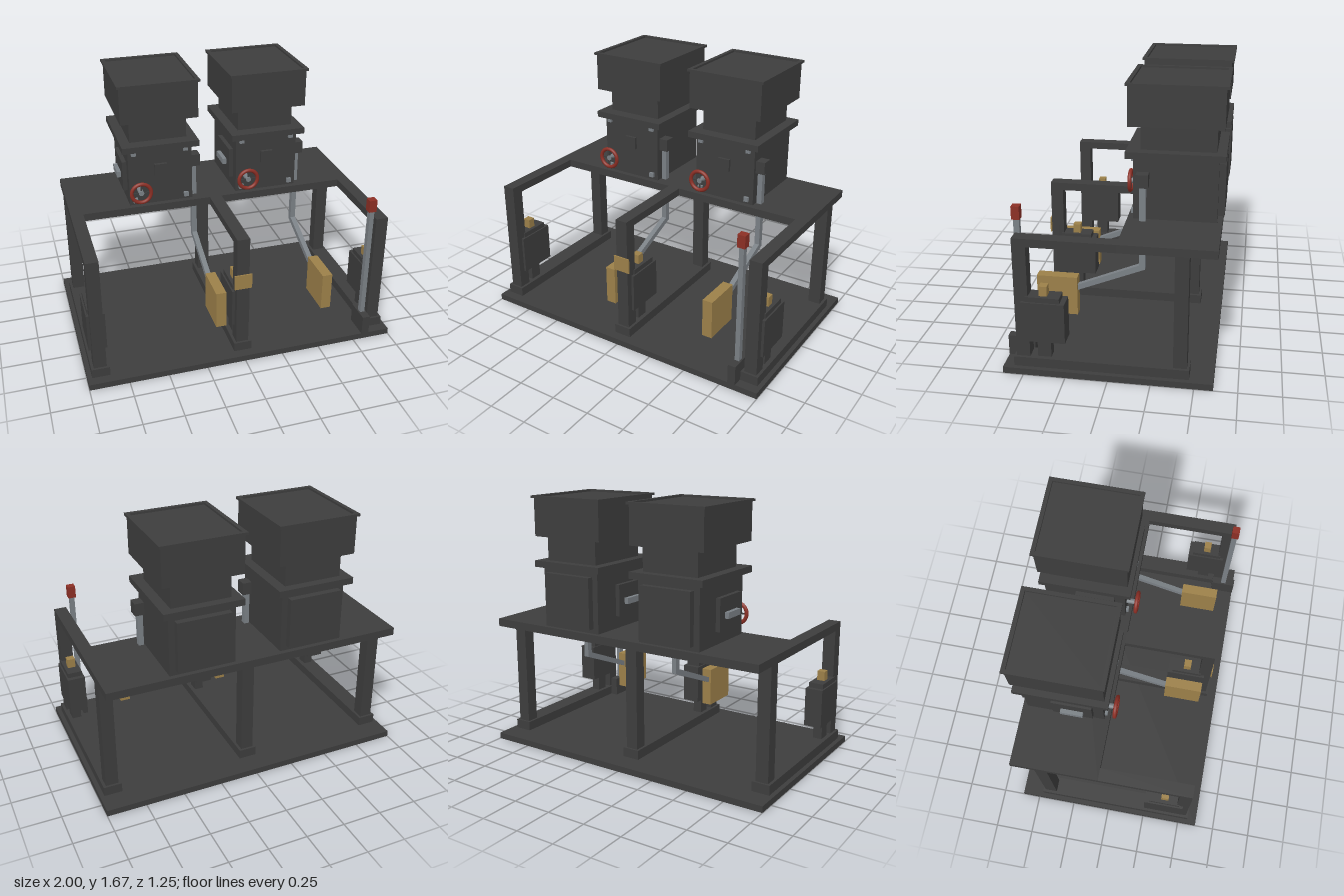
import * as THREE from 'three';

const mat = (name, color) => {
  const m = new THREE.MeshStandardMaterial({ color });
  m.name = name;
  return m;
};

export function createModel() {
  const iron = mat('dark iron', 0x3d3d3d);
  const steel = mat('grey steel', 0x7a8085);
  const red = mat('red paint', 0x8c2f25);
  const brass = mat('brass', 0x9c8049);

  const model = new THREE.Group();
  model.name = 'twinHopperMachine';

  const add = (parent, name, geometry, material, x = 0, y = 0, z = 0) => {
    const mesh = new THREE.Mesh(geometry, material);
    mesh.name = name;
    mesh.position.set(x, y, z);
    parent.add(mesh);
    return mesh;
  };
  // Box given by its limits on each axis
  const box = (parent, name, material, [x0, x1], [y0, y1], [z0, z1]) =>
    add(parent, name, new THREE.BoxGeometry(x1 - x0, y1 - y0, z1 - z0), material,
      (x0 + x1) / 2, (y0 + y1) / 2, (z0 + z1) / 2);
  // Square frame of four bars
  const frame = (parent, name, material, [x0, x1], y, [z0, z1], w) => {
    for (const x of [x0, x1 - w]) box(parent, name, material, [x, x + w], y, [z0, z1]);
    for (const z of [z0, z1 - w]) box(parent, name, material, [x0 + w, x1 - w], y, [z, z + w]);
  };

  // Base plate, ribbed underneath
  const base = new THREE.Group();
  base.name = 'base';
  model.add(base);
  box(base, 'basePlate', iron, [-1, 1], [0.02, 0.04], [-0.61, 0.622]);
  frame(base, 'baseRim', iron, [-1, 1], [0, 0.02], [-0.61, 0.622], 0.025);
  for (const x of [-0.33, 0.33]) box(base, 'crossRib', iron, [x - 0.012, x + 0.012], [0, 0.02], [-0.585, 0.597]);
  for (const [a, b] of [[-0.975, -0.342], [-0.318, 0.318], [0.342, 0.975]])
    box(base, 'longRib', iron, [a, b], [0, 0.02], [-0.006, 0.018]);

  // Table top
  box(model, 'tableTop', iron, [-0.955, 0.955], [0.8, 0.85], [-0.61, -0.05]);

  // Three side frames, each with a switch box behind the front post
  for (const x of [-0.915, 0, 0.915]) {
    const side = new THREE.Group();
    side.name = 'sideFrame';
    side.position.x = x;
    model.add(side);
    box(side, 'floorRail', iron, [-0.057, 0.057], [0.04, 0.1], [-0.47, 0.56]);
    box(side, 'frontPost', iron, [-0.04, 0.04], [0.1, 0.8], [0.465, 0.545]);
    box(side, 'backPost', iron, [-0.04, 0.04], [0.1, 0.8], [-0.455, -0.375]);
    box(side, 'topArm', iron, [-0.04, 0.04], [0.8, 0.85], [-0.05, 0.545]);
    box(side, 'boxStand', iron, [-0.03, 0.03], [0.1, 0.215], [0.34, 0.42]);
    box(side, 'switchBox', iron, [-0.057, 0.057], [0.21, 0.46], [0.25, 0.505]);
    box(side, 'boxLid', iron, [-0.047, 0.047], [0.46, 0.492], [0.28, 0.48]);
    box(side, 'boxButton', brass, [-0.025, 0.025], [0.492, 0.553], [0.355, 0.403]);
  }
  box(model, 'namePlate', brass, [-0.056, 0.056], [0.503, 0.602], [0.545, 0.553]);

  // Two hopper machines
  for (const cx of [-0.358, 0.358]) {
    const m = new THREE.Group();
    m.name = 'machine';
    m.position.x = cx;
    model.add(m);
    box(m, 'body', iron, [-0.208, 0.208], [0.85, 1.23], [-0.58, -0.085]);
    box(m, 'backCover', iron, [-0.17, 0.17], [0.88, 1.2], [-0.62, -0.58]);
    box(m, 'flange', iron, [-0.248, 0.248], [1.23, 1.27], [-0.62, -0.042]);
    box(m, 'neck', iron, [-0.185, 0.185], [1.27, 1.42], [-0.565, -0.125]);
    box(m, 'hopper', iron, [-0.248, 0.248], [1.42, 1.657], [-0.608, -0.057]);
    frame(m, 'hopperRim', iron, [-0.26, 0.26], [1.655, 1.67], [-0.622, -0.045], 0.025);

    // Front face fittings
    box(m, 'frontCover', iron, [-0.04, 0.04], [1.045, 1.125], [-0.085, -0.066]);
    for (const x of [-0.172, 0.165]) for (const y of [0.885, 1.212])
      box(m, 'bolt', steel, [x - 0.015, x + 0.015], [y - 0.015, y + 0.015], [-0.085, -0.068]);

    // Hand wheel
    const wheel = new THREE.Group();
    wheel.name = 'handWheel';
    wheel.position.set(-0.143, 0.96, -0.018);
    m.add(wheel);
    add(wheel, 'wheelRim', new THREE.TorusGeometry(0.0635, 0.0125, 8, 32), red);
    add(wheel, 'wheelShaft', new THREE.CylinderGeometry(0.017, 0.017, 0.075, 16), steel, 0, 0, -0.032)
      .rotation.x = Math.PI / 2;
    for (const a of [0, Math.PI / 2])
      add(wheel, 'wheelSpoke', new THREE.BoxGeometry(0.115, 0.008, 0.008), iron, 0, 0, -0.003).rotation.z = a;

    // Side panel with handle
    box(m, 'sidePanel', iron, [-0.236, -0.208], [0.93, 1.13], [-0.4, -0.15]);
    box(m, 'panelHandle', steel, [-0.262, -0.236], [1.002, 1.04], [-0.345, -0.205]);

    // Bent lever with pedal
    box(m, 'leverBracket', iron, [0.2, 0.268], [1.062, 1.142], [-0.18, -0.107]);
    box(m, 'leverRod', steel, [0.214, 0.247], [0.55, 1.07], [-0.164, -0.126]);
    const drop = new THREE.Shape([
      [0.164, 0.55], [0.126, 0.562], [-0.27, 0.398], [-0.27, 0.362], [0.164, 0.538],
    ].map(([a, b]) => new THREE.Vector2(-a, b)));
    add(m, 'leverArm', new THREE.ExtrudeGeometry(drop, { depth: 0.033, bevelEnabled: false }),
      steel, 0.247, 0, 0).rotation.y = -Math.PI / 2;
    box(m, 'pedal', brass, [0.198, 0.264], [0.21, 0.46], [0.25, 0.5]);
  }

  // Upright control lever
  box(model, 'controlBase', iron, [0.806, 0.856], [0.04, 0.167], [0.46, 0.624]);
  box(model, 'controlRod', steel, [0.816, 0.846], [0.16, 0.92], [0.525, 0.56]);
  box(model, 'controlKnob', red, [0.806, 0.856], [0.92, 1], [0.52, 0.568]);

  return model;
}
